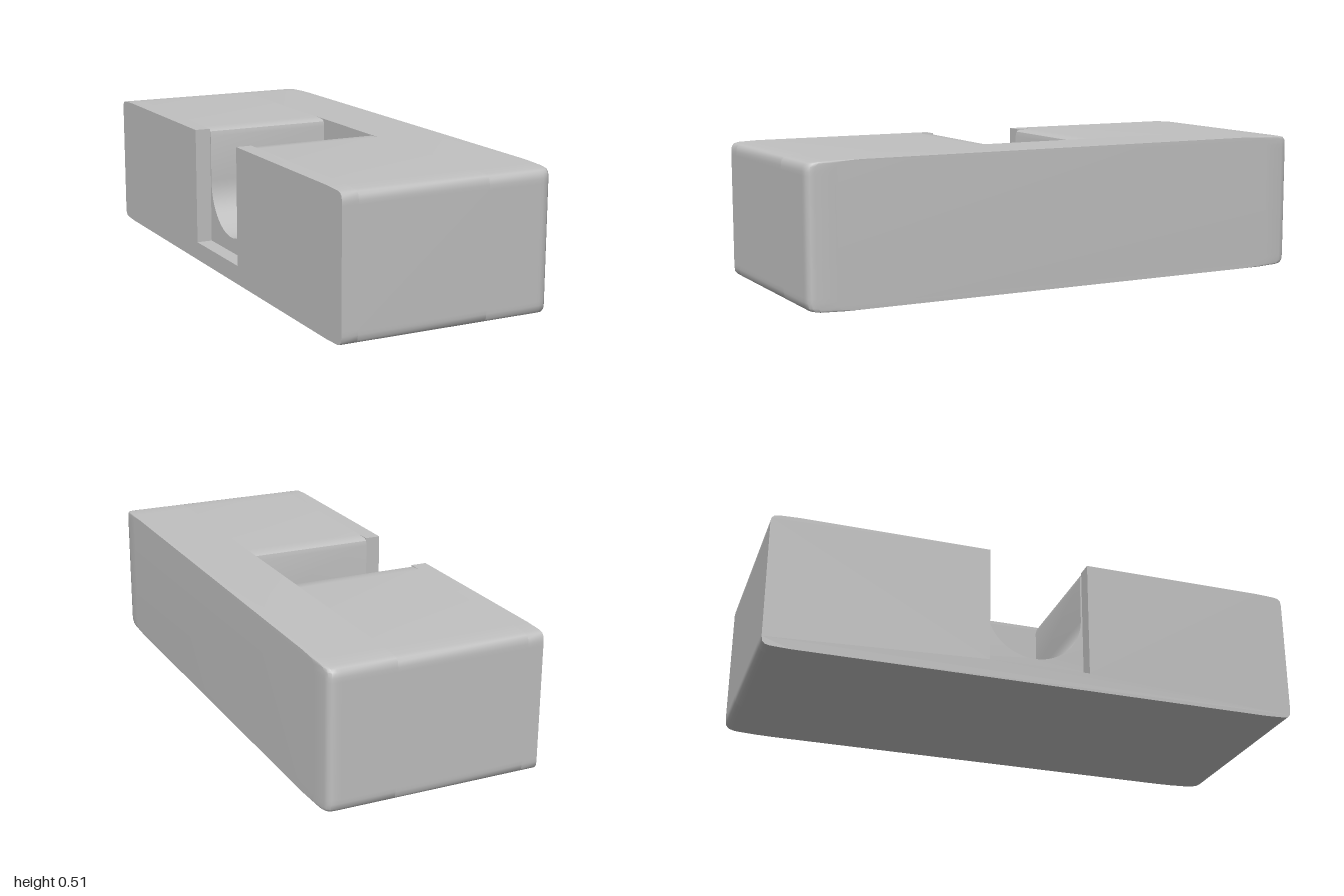
import * as THREE from 'three';
import { toCreasedNormals } from 'three/addons/utils/BufferGeometryUtils.js';

const HEIGHT = 0.513;
// Soft corner: [inset along z, drop along the other axis]
const CORNER = [[0, 0.05], [0, 0.035], [0.003, 0.017], [0.012, 0.007], [0.03, 0.003], [0.1, 0]];

// Cross-section of the block; notch = points of the cut, from +u to -u
function section(notch = []) {
  const pts = [];
  const rev = [...CORNER].reverse();
  rev.forEach(([a, b]) => pts.push([-1 + a, HEIGHT - b]));
  CORNER.forEach(([a, b]) => pts.push([-1 + a, b]));
  rev.forEach(([a, b]) => pts.push([1 - a, b]));
  CORNER.forEach(([a, b]) => pts.push([1 - a, HEIGHT - b]));
  pts.push(...notch);
  return new THREE.Shape(pts.map(([u, v]) => new THREE.Vector2(u, v)));
}

// Sweeps a section along x through the given stations [x, inset of the ends]
function sweep(name, shape, stations, material) {
  const steps = stations.length - 1;
  const geo = new THREE.ExtrudeGeometry(shape, { depth: steps, steps, bevelEnabled: false });
  const p = geo.attributes.position;
  for (let i = 0; i < p.count; i++) {
    const [x, inset] = stations[Math.round(p.getZ(i))];
    p.setXYZ(i, p.getX(i) * (1 - inset), p.getY(i), x);
  }
  geo.rotateY(Math.PI / 2);
  const mesh = new THREE.Mesh(toCreasedNormals(geo, 0.7), material);
  mesh.name = name;
  return mesh;
}

export function createModel() {
  const group = new THREE.Group();
  group.name = 'notchedBlock';
  const grey = new THREE.MeshStandardMaterial({ color: 0xc0c0c0 });
  grey.name = 'grey';

  // Shallow rectangular opening on the side
  const opening = [[0.19, HEIGHT], [0.19, 0.07], [-0.19, 0.07], [-0.19, HEIGHT]];

  // Round-bottomed trough with softened top edges
  const r = 0.184, cy = 0.31;
  const lip = [[0.25, HEIGHT], [0.2, 0.51], [0.188, 0.503], [r, 0.485]];
  const trough = [...lip];
  for (let i = 0; i <= 24; i++) {
    const a = (i / 24) * Math.PI;
    trough.push([r * Math.cos(a), cy - r * Math.sin(a)]);
  }
  trough.push(...[...lip].reverse().map(([u, v]) => [-u, v]));

  // Solid side, whose end closes in with softened vertical corners
  const closing = CORNER.slice(1).map(([a, b]) => [0.4 - b, a]);

  group.add(
    sweep('openingSection', section(opening), [[-0.4, 0], [-0.34, 0]], grey),
    sweep('troughSection', section(trough), [[-0.34, 0], [0.15, 0]], grey),
    sweep('solidSection', section(), [[0.15, 0], [0.35, 0], ...closing], grey),
  );
  return group;
}
